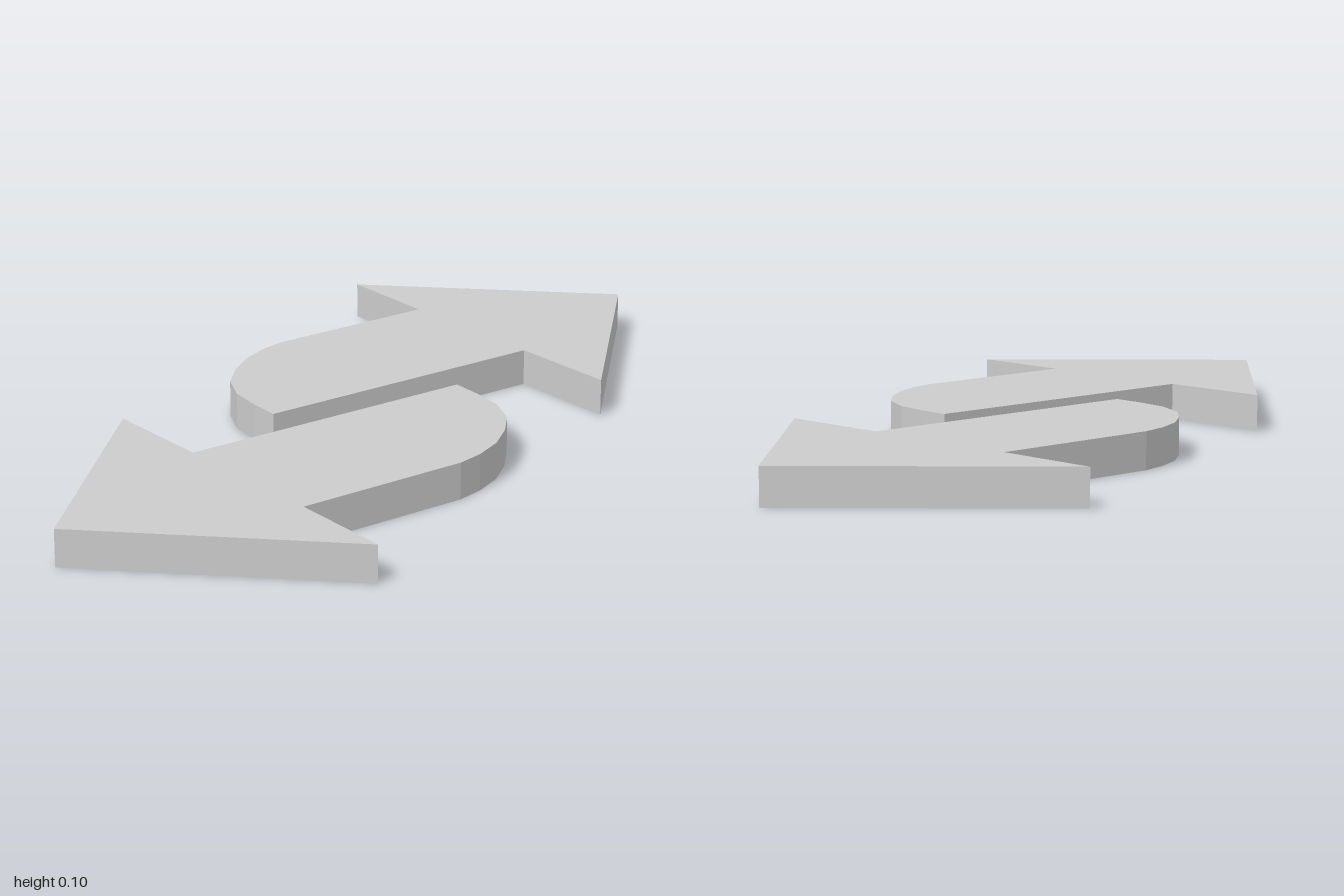
import * as THREE from 'three';

const THICKNESS = 0.1;

// Arrow outline in plan, as [x, z]
const OUTLINE = [
  [-0.153, -1], [0.055, -0.785],                     // head barb, inner corner
  [-0.296, -0.44], [-0.339, -0.373], [-0.373, -0.288], // curved tail
  [-0.387, -0.19], [-0.385, -0.095], [-0.35, 0.002], [-0.29, 0.08],
  [-0.229, 0.146], [0.388, -0.455],                  // straight inner edge
  [0.615, -0.23], [0.626, -1],                       // other barb, tip
];

export function createModel() {
  const model = new THREE.Group();
  model.name = 'arrowPair';
  const material = new THREE.MeshStandardMaterial({ color: 0xcccccc, flatShading: true });

  // Shape y is -z, so laying it flat makes the slab rise from y = 0
  const shape = new THREE.Shape(OUTLINE.map(([x, z]) => new THREE.Vector2(x, -z)));
  const geometry = new THREE.ExtrudeGeometry(shape, { depth: THICKNESS, bevelEnabled: false });
  geometry.rotateX(-Math.PI / 2);

  // Two identical arrows, half a turn apart
  ['backArrow', 'frontArrow'].forEach((name, i) => {
    const arrow = new THREE.Mesh(geometry, material);
    arrow.name = name;
    arrow.rotation.y = i * Math.PI;
    model.add(arrow);
  });
  return model;
}
